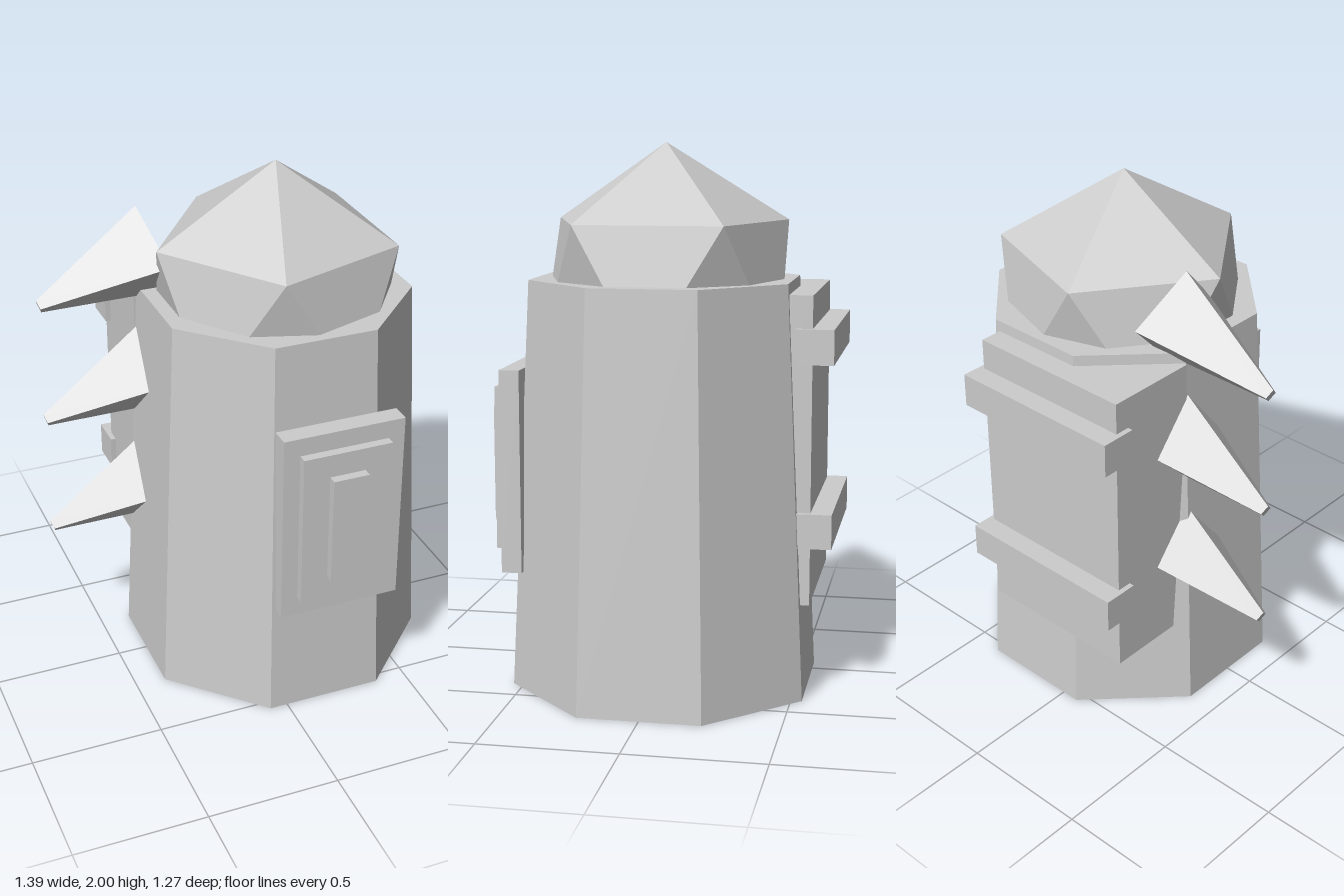
import * as THREE from 'three';
import { ConvexGeometry } from 'three/addons/geometries/ConvexGeometry.js';

const stone = new THREE.MeshStandardMaterial({ color: 0xcccccc, flatShading: true });
stone.name = 'grey stone';

const CX = 0.155; // axis of the tower

function add(group, name, geometry, x = 0, y = 0, z = 0) {
  const mesh = new THREE.Mesh(geometry, stone);
  mesh.name = name;
  mesh.position.set(x, y, z);
  group.add(mesh);
  return mesh;
}

// Box given by its limits on each axis
function block(group, name, [x0, x1], [y0, y1], [z0, z1]) {
  return add(group, name, new THREE.BoxGeometry(x1 - x0, y1 - y0, z1 - z0),
    (x0 + x1) / 2, (y0 + y1) / 2, (z0 + z1) / 2);
}

// Twenty-sided head standing on one point
function headGeometry(r) {
  const points = [new THREE.Vector3(0, r, 0), new THREE.Vector3(0, -r, 0)];
  const ring = r * 2 / Math.sqrt(5), h = r / Math.sqrt(5);
  for (let i = 0; i < 5; i++) {
    const a = i * Math.PI * 2 / 5;
    points.push(new THREE.Vector3(-ring * Math.cos(a), h, ring * Math.sin(a)));
    points.push(new THREE.Vector3(ring * Math.cos(a), -h, ring * Math.sin(a)));
  }
  return new ConvexGeometry(points);
}

export function createModel() {
  const model = new THREE.Group();
  model.name = 'tower';

  // Tapered eight-sided body
  const k = 1 / Math.cos(Math.PI / 8);
  const body = new THREE.CylinderGeometry(0.47 * k, 0.54 * k, 1.51, 8);
  body.rotateY(Math.PI / 8);
  add(model, 'body', body, CX, 0.755, 0);

  add(model, 'head', headGeometry(0.509), CX, 1.491, 0);

  // Stepped panel on the front
  block(model, 'panelBase', [-0.043, 0.428], [0.44, 1.19], [0.49, 0.565]);
  block(model, 'panelMiddle', [0.02, 0.365], [0.515, 1.12], [0.55, 0.6]);
  block(model, 'panelCentre', [0.122, 0.26], [0.605, 1.03], [0.59, 0.635]);

  // Pack on the back with two straps
  block(model, 'backPack', [-0.325, 0.33], [0.345, 1.47], [-0.557, -0.2]);
  for (const y of [0.56, 1.225])
    block(model, 'strap', [-0.345, 0.35], [y, y + 0.127], [-0.635, -0.5]);

  // Three drooping four-sided spikes on the right side
  const spike = new THREE.CylinderGeometry(0.026, 0.189, 0.469, 4);
  for (let i = 0; i < 3; i++) {
    const mesh = add(model, 'spike', spike, -0.469, 1.568 - i * 0.473, -0.19);
    mesh.rotation.z = THREE.MathUtils.degToRad(109.5);
  }
  return model;
}
